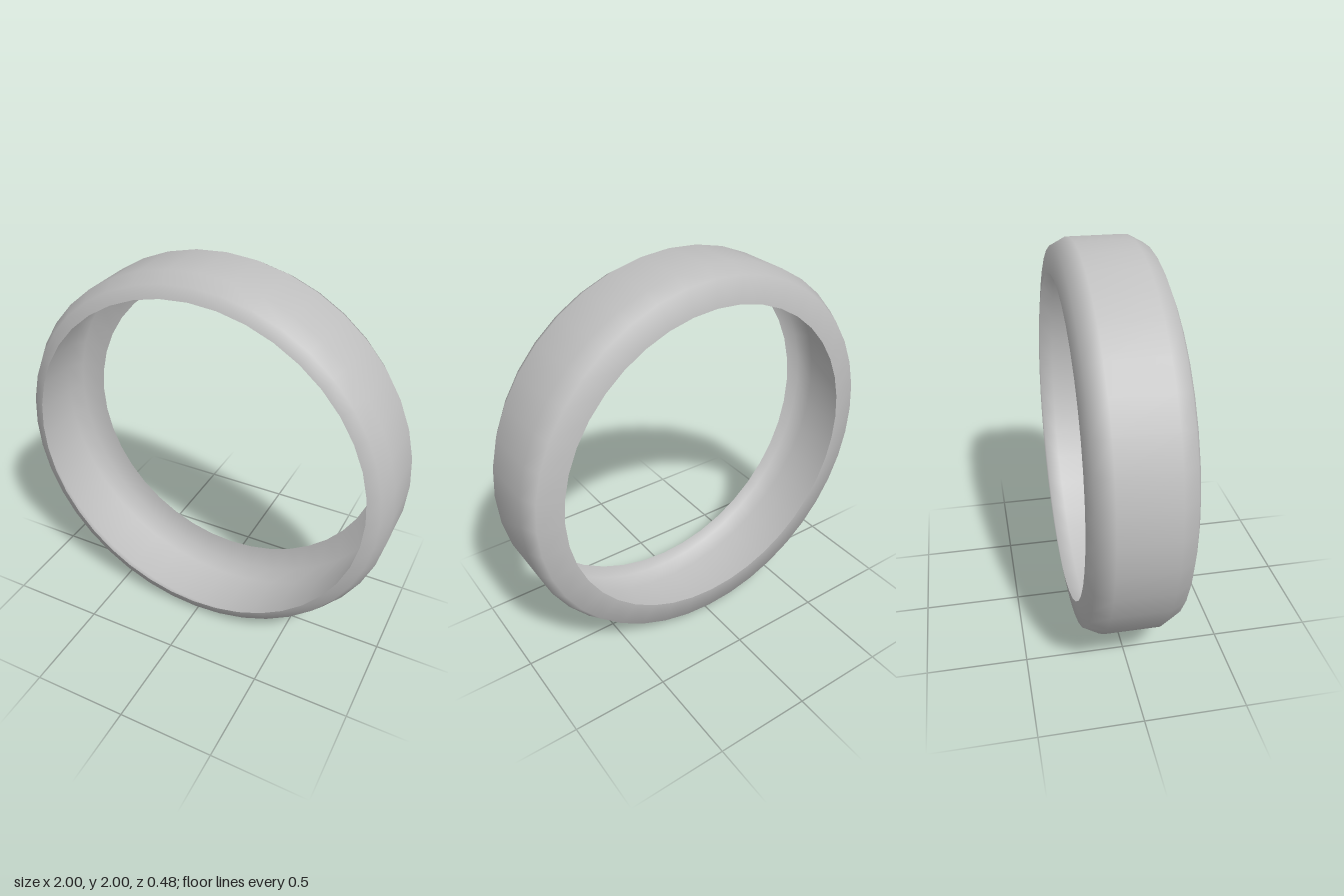
import * as THREE from 'three';

export function createModel() {
  const group = new THREE.Group();
  group.name = 'ring';

  const grey = new THREE.MeshStandardMaterial({ color: 0xc0c0c0, side: THREE.DoubleSide });
  grey.name = 'grey';

  // Open shell profile: [radius, z], from the back lip over the tread to the front lip
  const profile = [
    [0.83, -0.24],
    [0.96, -0.22],
    [1.0, -0.14],
    [1.0, 0.14],
    [0.96, 0.215],
    [0.9, 0.24],
  ].map(([r, z]) => new THREE.Vector2(r, z));

  // Spin the profile, then lay its axis along z and stand it on the ground
  const geometry = new THREE.LatheGeometry(profile, 40);
  geometry.rotateX(Math.PI / 2);
  geometry.translate(0, 1, 0);

  const band = new THREE.Mesh(geometry, grey);
  band.name = 'band';
  group.add(band);
  return group;
}
